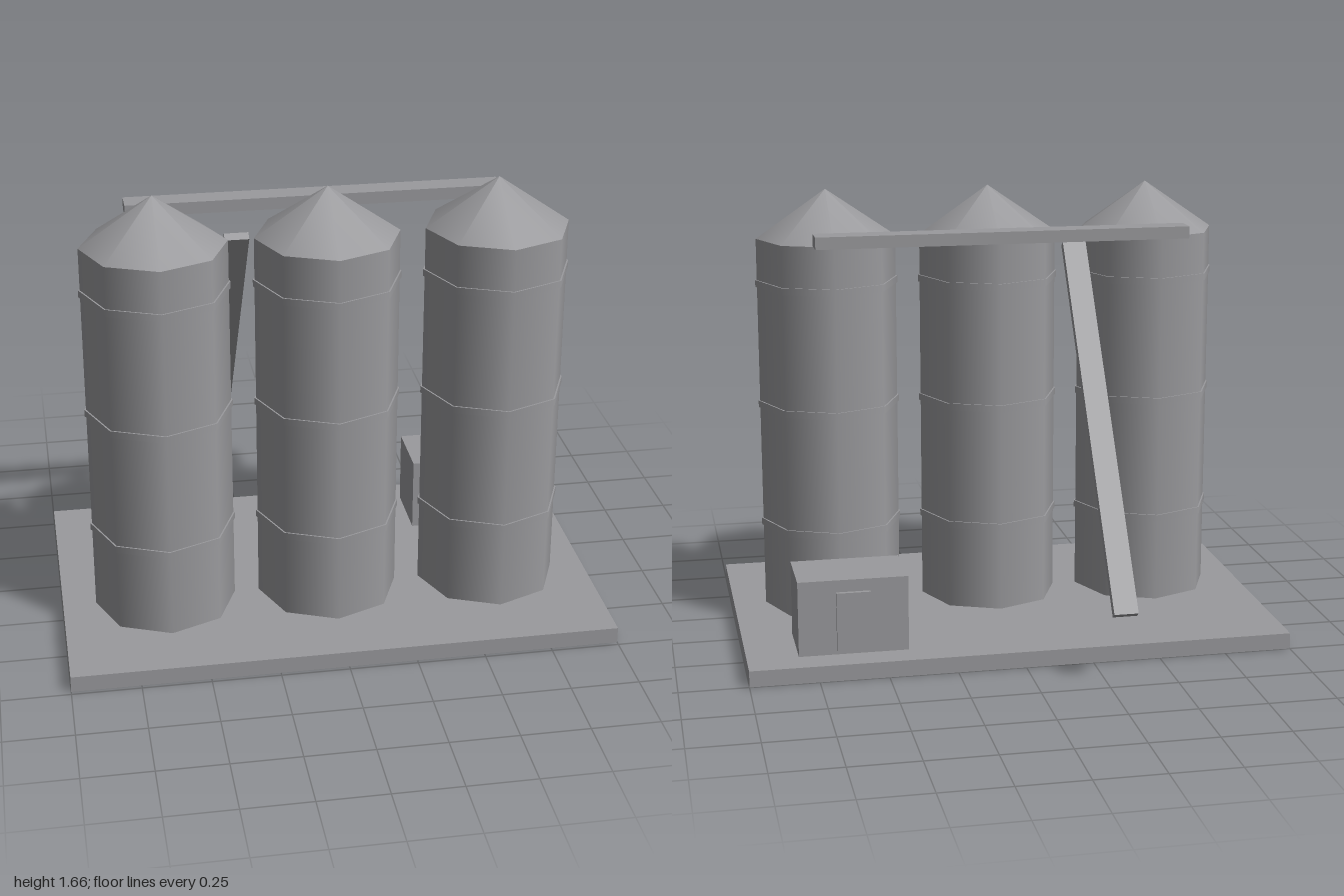
import * as THREE from 'three';

export function createModel() {
  const model = new THREE.Group();
  model.name = 'grainSilos';
  const grey = new THREE.MeshStandardMaterial({ color: 0x9a9a9d });
  grey.name = 'plain grey';

  const add = (parent, name, geometry, x, y, z) => {
    const mesh = new THREE.Mesh(geometry, grey);
    mesh.name = name;
    mesh.position.set(x, y, z);
    parent.add(mesh);
    return mesh;
  };
  const box = (w, h, d) => new THREE.BoxGeometry(w, h, d);

  // Ground slab
  const slabTop = 0.06;
  add(model, 'slab', box(2, slabTop, 1.234), 0, slabTop / 2, 0.117);

  // Three eight-sided silos, each with a conical roof and three hoops
  const radius = 0.262, wallTop = 1.48, roofHeight = 0.18, sides = 8;
  const wallHeight = wallTop - slabTop;
  const wallGeometry = new THREE.CylinderGeometry(radius, radius, wallHeight, sides);
  const roofGeometry = new THREE.ConeGeometry(radius, roofHeight, sides);
  const hoopGeometry = new THREE.CylinderGeometry(0.268, 0.268, 0.026, sides);
  for (const x of [-0.615, 0, 0.615]) {
    const silo = new THREE.Group();
    silo.name = 'silo';
    silo.position.set(x, 0, 0.24);
    add(silo, 'wall', wallGeometry, 0, slabTop + wallHeight / 2, 0);
    add(silo, 'roof', roofGeometry, 0, wallTop + roofHeight / 2, 0);
    for (const y of [0.387, 0.85, 1.312]) add(silo, 'hoop', hoopGeometry, 0, y, 0);
    model.add(silo);
  }

  // Level conveyor behind the roofs
  add(model, 'topConveyor', box(1.385, 0.045, 0.09), 0, 1.51, -0.066);

  // Sloping conveyor rising from the back between two silos
  const low = new THREE.Vector2(-0.724, 0.256);
  const high = new THREE.Vector2(0.12, 1.445);
  const run = high.clone().sub(low);
  const elevator = add(model, 'slopingConveyor', box(0.088, 0.03, run.length()),
    -0.308, (low.y + high.y) / 2, (low.x + high.x) / 2);
  elevator.rotation.x = -Math.atan2(run.y, run.x);

  // Control shed with a door on its back wall
  const shed = new THREE.Group();
  shed.name = 'shed';
  add(shed, 'shedBody', box(0.4, 0.28, 0.248), 0.613, slabTop + 0.14, -0.267);
  add(shed, 'shedDoor', box(0.124, 0.22, 0.03), 0.613, 0.185, -0.391);
  model.add(shed);

  return model;
}
